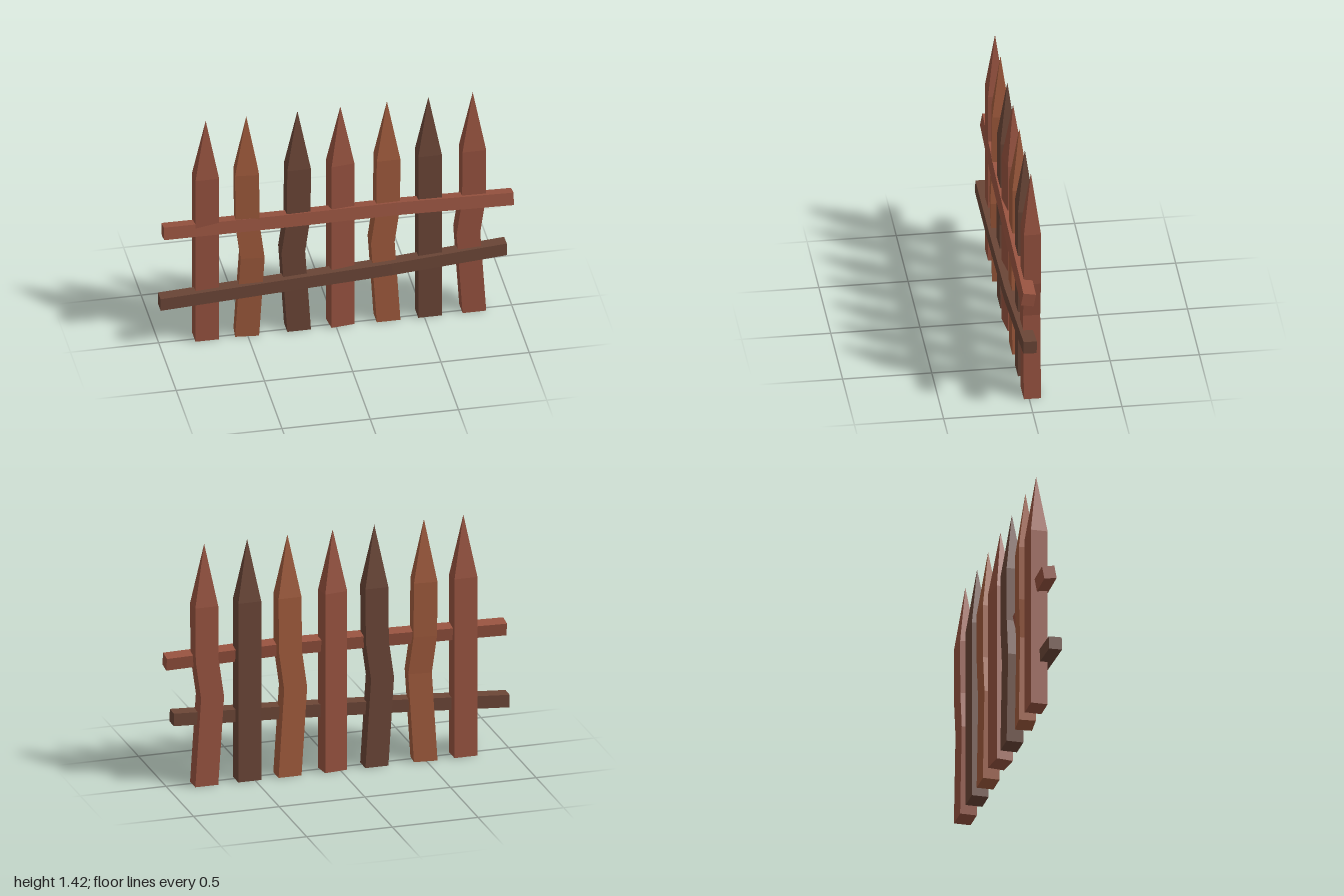
import * as THREE from 'three';

const wood = (color) => new THREE.MeshStandardMaterial({ color, flatShading: true });
const red = wood(0x96523f), orange = wood(0x9f5a3c), dark = wood(0x6a4536);

// Post: a box whose rows are moved to set heights, bent, and pinched to a point.
const rowHeights = [0, 0.26, 0.52, 0.74, 1.06, 1.42];
const bendShare = [0, 0.5, 1, 0.08, 0, 0];
function post({ x, material, bendX = 0, bendZ = 0, turn = 0 }) {
  const n = rowHeights.length - 1;
  const geo = new THREE.BoxGeometry(0.134, 1, 0.096, 1, n, 1);
  const p = geo.attributes.position;
  for (let i = 0; i < p.count; i++) {
    const row = Math.round((p.getY(i) + 0.5) * n);
    const size = row === n ? 0.001 : 1;
    p.setXYZ(i,
      p.getX(i) * size + bendX * bendShare[row],
      rowHeights[row],
      p.getZ(i) * size + bendZ * bendShare[row]);
  }
  geo.computeVertexNormals();
  const mesh = new THREE.Mesh(geo, material);
  mesh.position.set(x, 0, -0.018);
  mesh.rotation.y = turn;
  return mesh;
}

// Rail: a box whose cross-sections follow a few centre points, rolled about x.
function rail(points, height, depth, roll, material) {
  const n = points.length - 1;
  const geo = new THREE.BoxGeometry(1, height, depth, n, 1, 1);
  geo.rotateX(roll);
  const p = geo.attributes.position;
  for (let i = 0; i < p.count; i++) {
    const [x, y, z] = points[Math.round((p.getX(i) + 0.5) * n)];
    p.setXYZ(i, x, p.getY(i) + y, p.getZ(i) + z);
  }
  geo.computeVertexNormals();
  return new THREE.Mesh(geo, material);
}

export function createModel() {
  const fence = new THREE.Group();
  fence.name = 'fence';

  // Pointed posts, some bent or slightly turned
  const posts = [
    { x: -0.73, material: red },
    { x: -0.5, material: orange, bendX: 0.03, bendZ: 0.012, turn: -0.1 },
    { x: -0.21, material: dark, bendX: -0.033 },
    { x: 0.033, material: red, turn: 0.12 },
    { x: 0.297, material: orange, bendX: -0.033 },
    { x: 0.532, material: dark },
    { x: 0.783, material: red, bendX: -0.034 },
  ];
  posts.forEach((spec, i) => {
    const mesh = post(spec);
    mesh.name = `post${i + 1}`;
    fence.add(mesh);
  });

  // Upper rail, slightly crooked and rolled
  const upperRail = rail(
    [[-0.975, 0.726, -0.008], [-0.32, 0.735, 0.01], [0.34, 0.745, 0.02], [1, 0.731, 0.024]],
    0.075, 0.072, -0.18, red);
  upperRail.name = 'upperRail';

  // Lower rail, rising to one side
  const lowerRail = rail(
    [[-1, 0.284, 0.02], [-0.35, 0.325, 0.028], [0.31, 0.362, 0.03], [0.963, 0.4, 0.01]],
    0.075, 0.075, -0.03, dark);
  lowerRail.name = 'lowerRail';

  fence.add(upperRail, lowerRail);
  return fence;
}
